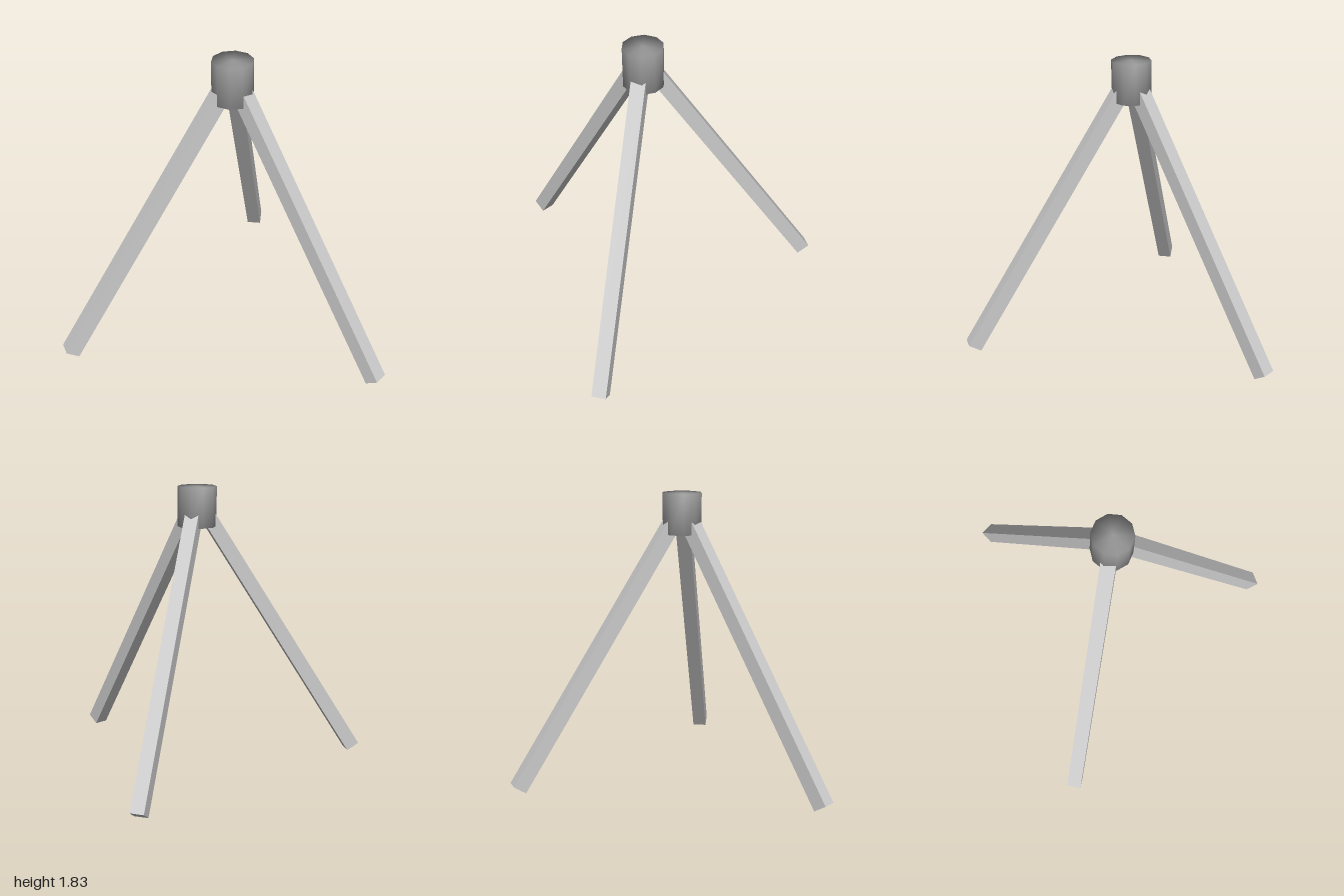
import * as THREE from 'three';
import { mergeVertices } from 'three/addons/utils/BufferGeometryUtils.js';

const HUB_Z = 0.26;       // the hub sits forward of the footprint centre
const LEG_SIZE = 0.09;    // square leg section

export function createModel() {
  const group = new THREE.Group();
  group.name = 'tripod';
  const legMaterial = new THREE.MeshStandardMaterial({ color: 0xcccccc, flatShading: true });
  const hubMaterial = new THREE.MeshStandardMaterial({ color: 0x969696 });

  // Ten-sided hub, with normals blended across the rims
  let hubGeometry = new THREE.CylinderGeometry(0.125, 0.125, 0.255, 10);
  hubGeometry.deleteAttribute('normal');
  hubGeometry.deleteAttribute('uv');
  hubGeometry = mergeVertices(hubGeometry);
  hubGeometry.computeVertexNormals();
  const hub = new THREE.Mesh(hubGeometry, hubMaterial);
  hub.name = 'hub';
  hub.position.set(0, 1.6975, HUB_Z);
  group.add(hub);

  // Three square legs, splayed evenly around the hub
  const foot = new THREE.Vector2(1.087, 0.024);  // radius, height
  const top = new THREE.Vector2(0.02, 1.712);
  const span = top.clone().sub(foot);
  const legGeometry = new THREE.BoxGeometry(LEG_SIZE, span.length(), LEG_SIZE);
  legGeometry.rotateX(Math.atan2(span.x, span.y));
  legGeometry.translate(0, (foot.y + top.y) / 2, (foot.x + top.x) / 2);

  ['backLeg', 'leftLeg', 'rightLeg'].forEach((name, i) => {
    const leg = new THREE.Mesh(legGeometry, legMaterial);
    leg.name = name;
    leg.position.z = HUB_Z;
    leg.rotation.y = Math.PI + (i * 2 * Math.PI) / 3;
    group.add(leg);
  });

  return group;
}
